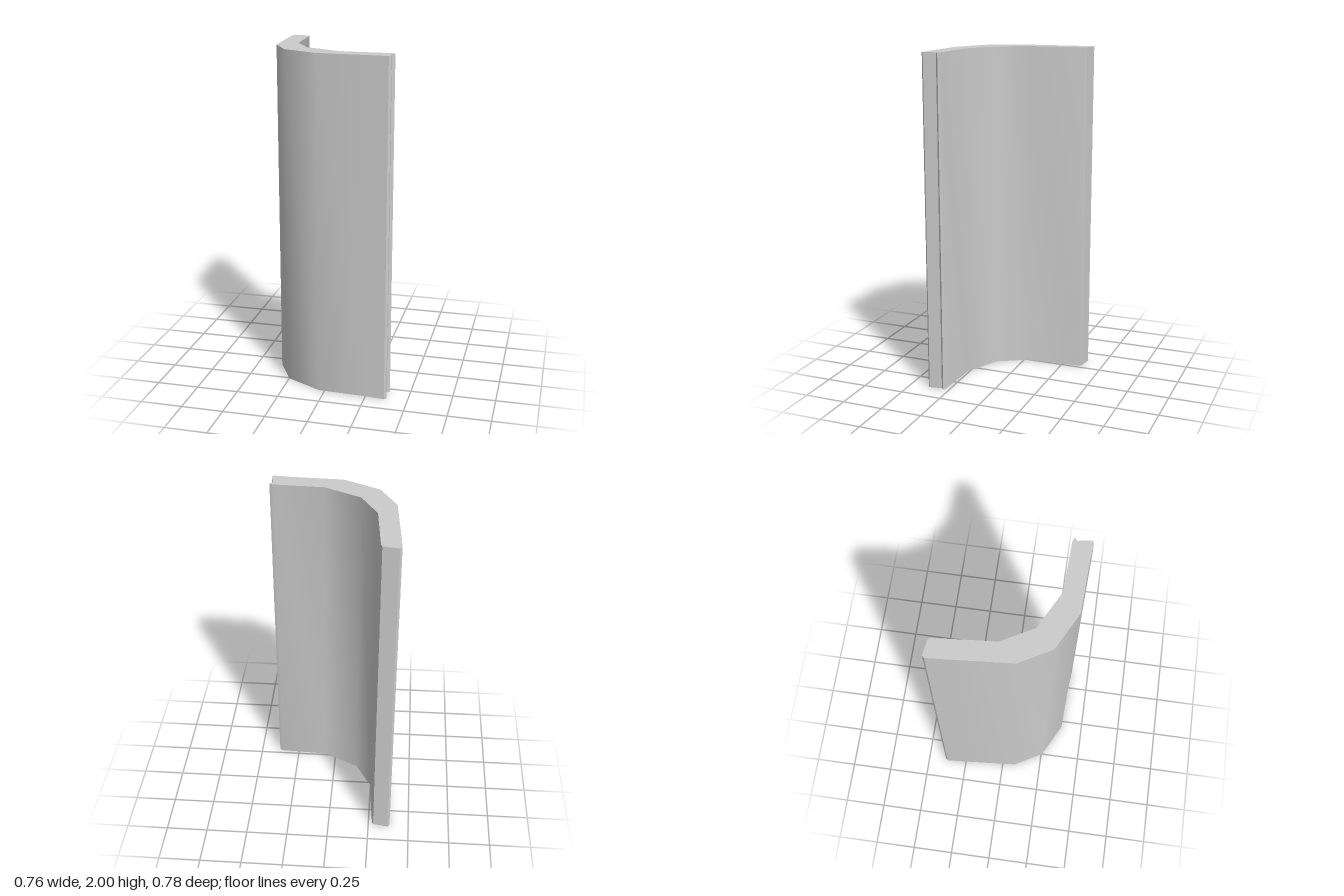
import * as THREE from 'three';
import { toCreasedNormals } from 'three/addons/utils/BufferGeometryUtils.js';

const HEIGHT = 2;

// Plan outline of the curved wall as [x, z]
const outline = [
  // chamfered back end
  [-0.383, -0.376], [-0.371, -0.389], [-0.28, -0.374], [-0.273, -0.36],
  // inner face
  [-0.245, -0.022], [-0.147, 0.152], [0.066, 0.261], [0.36, 0.274],
  // notched side end
  [0.38, 0.284], [0.364, 0.3], [0.376, 0.375], [0.364, 0.387],
  // outer face
  [0.26, 0.377], [-0.038, 0.364], [-0.249, 0.256], [-0.348, 0.08], [-0.376, -0.27],
];

export function createModel() {
  const group = new THREE.Group();
  group.name = 'curvedWallPanel';

  // Extrude the plan upwards; shape y becomes -z once laid flat
  const shape = new THREE.Shape(outline.map(([x, z]) => new THREE.Vector2(x, -z)));
  const extruded = new THREE.ExtrudeGeometry(shape, { depth: HEIGHT, bevelEnabled: false });
  extruded.rotateX(-Math.PI / 2);

  // Smooth along the bend, sharp at the ends and rims
  const geometry = toCreasedNormals(extruded, THREE.MathUtils.degToRad(40));
  const wall = new THREE.Mesh(geometry, new THREE.MeshStandardMaterial({ color: 0xcccccc }));
  wall.name = 'curvedWall';
  group.add(wall);

  return group;
}
